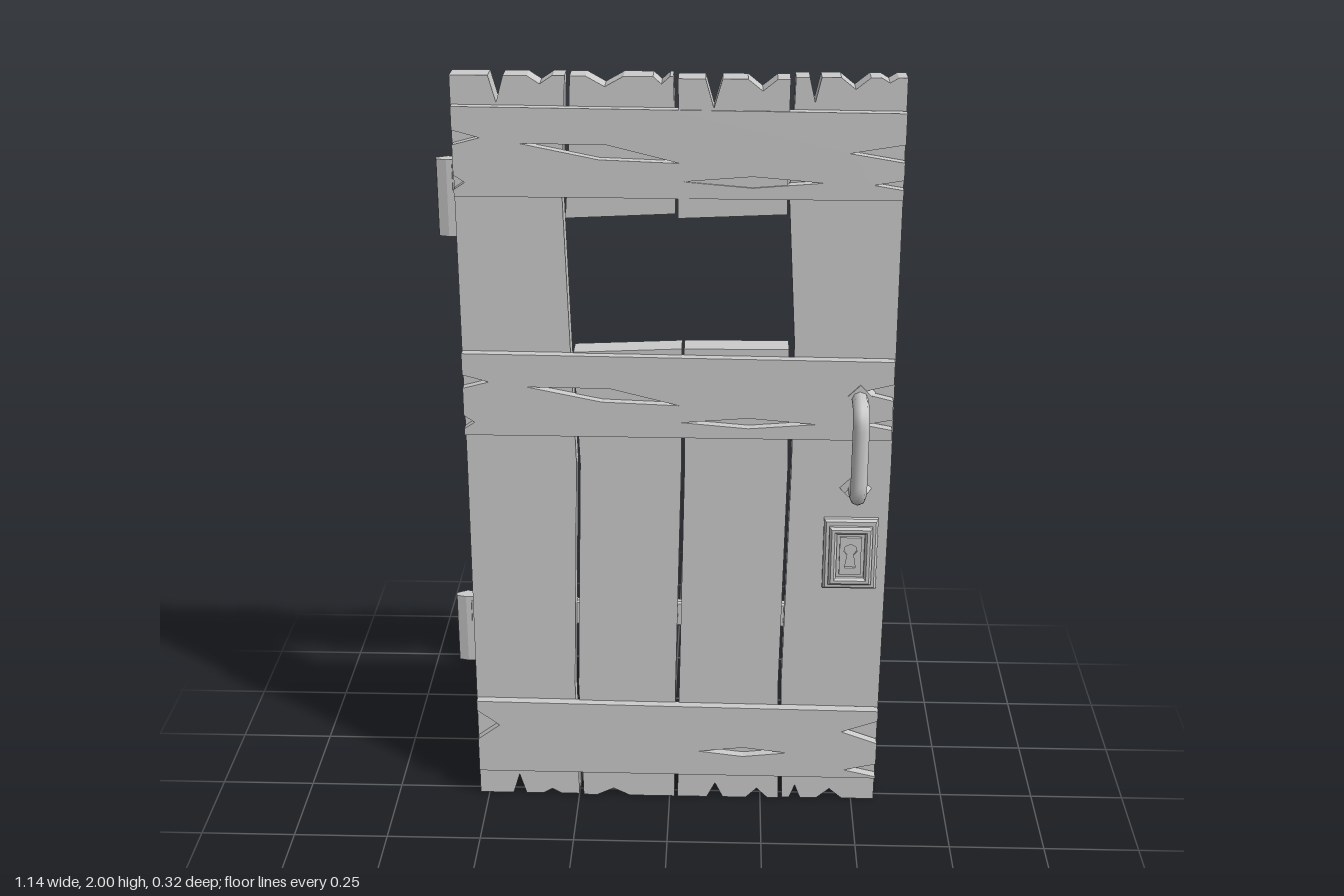
import * as THREE from 'three';

const material = new THREE.MeshStandardMaterial({ color: 0xcccccc, side: THREE.DoubleSide });

const toShape = (pts) => new THREE.Shape(pts.map(([x, y]) => new THREE.Vector2(x, y)));

function addMesh(parent, name, geometry, x = 0, y = 0, z = 0) {
  const mesh = new THREE.Mesh(geometry, material);
  mesh.name = name;
  mesh.position.set(x, y, z);
  parent.add(mesh);
  return mesh;
}

// Flat plate in the XY plane reaching from z = 0 to z = depth, with an optional chamfered front
function plate(pts, depth, holes = [], bevel = 0) {
  const shape = toShape(pts);
  holes.forEach((h) => shape.holes.push(new THREE.Path(h.map(([x, y]) => new THREE.Vector2(x, y)))));
  const geometry = new THREE.ExtrudeGeometry(shape, {
    depth: depth - bevel, bevelEnabled: bevel > 0, bevelThickness: bevel,
    bevelSize: bevel, bevelOffset: -bevel, bevelSegments: 1, curveSegments: 8,
  });
  return geometry;
}

const rect = (w, h) => [[-w / 2, -h / 2], [w / 2, -h / 2], [w / 2, h / 2], [-w / 2, h / 2]];

// V-shaped chips [x, depth, half width] along a plank end, from left to right
const chips = (y, dir, list) => list.flatMap(([x, d, w]) => [[x - w, y], [x, y + dir * d], [x + w, y]]);

// Plank: left and right edges run bottom to top, ends may be chipped
function plank(parent, name, left, right, bottom, top, zBack, zFront) {
  const y0 = left[0][1], y1 = left[left.length - 1][1];
  const pts = [left[0], ...chips(y0, 1, bottom), ...right, ...chips(y1, -1, top).reverse(), ...left.slice(1).reverse()];
  addMesh(parent, name, plate(pts, zFront - zBack), 0, 0, zBack);
}

function buildPlanks(door) {
  plank(door, 'hingeSidePlank',
    [[-0.525, 0], [-0.522, 1], [-0.525, 2]],
    [[-0.25, 0], [-0.256, 0.35], [-0.24, 1.0], [-0.25, 1.32], [-0.262, 1.7], [-0.25, 2]],
    [[-0.415, 0.06, 0.018], [-0.325, 0.015, 0.025]],
    [[-0.415, 0.065, 0.018], [-0.31, 0.02, 0.03]], -0.035, 0.026);
  plank(door, 'innerPlankLower1',
    [[-0.238, 0], [-0.246, 0.35], [-0.23, 1.0], [-0.242, 1.305]],
    [[0.013, 0], [0.016, 0.35], [0.03, 1.0], [0.03, 1.317]],
    [[-0.155, 0.022, 0.045]], [], -0.035, 0.03);
  plank(door, 'innerPlankLower2',
    [[0.022, 0], [0.026, 0.35], [0.038, 1.0], [0.036, 1.317]],
    [[0.3, 0], [0.292, 0.35], [0.303, 1.0], [0.298, 1.318]],
    [[0.125, 0.045, 0.022], [0.24, 0.03, 0.03]], [], -0.037, 0.03);
  plank(door, 'innerPlankUpper1',
    [[-0.255, 1.652], [-0.245, 1.8], [-0.238, 2]],
    [[0.013, 1.665], [0.016, 1.8], [0.008, 2]],
    [], [[-0.155, 0.025, 0.045], [-0.02, 0.018, 0.02]], -0.035, 0.028);
  plank(door, 'innerPlankUpper2',
    [[0.02, 1.66], [0.022, 1.8], [0.02, 2]],
    [[0.285, 1.672], [0.283, 1.8], [0.285, 2]],
    [], [[0.105, 0.07, 0.02], [0.22, 0.028, 0.035]], -0.015, 0.05);
  plank(door, 'handleSidePlank',
    [[0.31, 0], [0.3, 0.35], [0.312, 1.0], [0.312, 1.32], [0.29, 1.7], [0.298, 2]],
    [[0.562, 0], [0.567, 1], [0.562, 2]],
    [[0.345, 0.04, 0.015], [0.44, 0.03, 0.035]],
    [[0.345, 0.06, 0.014], [0.44, 0.028, 0.035], [0.52, 0.012, 0.02]], -0.035, 0.026);
}

// Cross board with split ends [y, inner x, half height] and gouges cut into its face
function crossBoard(door, name, y0, y1, rightSplits, leftSplits, gouges) {
  const right = rightSplits.flatMap(([y, x, h]) => [[0.562, y - h], [x, y], [0.562, y + h]]);
  const left = leftSplits.flatMap(([y, x, h]) => [[-0.522, y + h], [x, y], [-0.522, y - h]]);
  const pts = [[-0.522, y0], [0.562, y0], ...right, [0.562, y1 - 0.008], [0, y1 - 0.004], [-0.522, y1], ...left];
  addMesh(door, name, plate(pts, 0.026, gouges), 0, 0, 0.027).rotation.y = -0.006;
}

function buildCrossBoards(door) {
  const longGouge = (y) => [[-0.36, y + 0.01], [-0.17, y - 0.028], [0.025, y - 0.035], [-0.15, y + 0.008]];
  const shortGouge = (y, r = 0.17) => [[0.2 - r, y], [0.2, y - 0.014], [0.2 + r, y], [0.2, y + 0.014]];
  crossBoard(door, 'topCrossBoard', 1.71, 1.93,
    [[1.748, 0.49, 0.012], [1.825, 0.43, 0.022]],
    [[1.855, -0.455, 0.018], [1.745, -0.495, 0.018]],
    [longGouge(1.832), shortGouge(1.752)]);
  crossBoard(door, 'middleCrossBoard', 1.085, 1.305,
    [[1.128, 0.49, 0.014], [1.215, 0.475, 0.022]],
    [[1.23, -0.455, 0.018], [1.12, -0.495, 0.018]],
    [longGouge(1.208), shortGouge(1.127)]);
  crossBoard(door, 'bottomCrossBoard', 0.085, 0.303,
    [[0.11, 0.475, 0.02], [0.23, 0.465, 0.035]],
    [[0.23, -0.462, 0.045]],
    [shortGouge(0.16, 0.12)]);
}

// Back strap with arrow tip, rivets and a hinge knuckle at the edge
function buildHinge(door, y) {
  const hinge = new THREE.Group();
  hinge.name = 'strapHinge';
  hinge.position.y = y;
  door.add(hinge);
  const upper = [[0.515, 0], [0.47, 0.04], [0.425, 0.038], [0.345, 0.017], [0.315, 0.036], [-0.54, 0.036]];
  const lower = upper.slice(1).reverse().map(([x, v]) => [x, -v]);
  const strap = plate([...upper, ...lower].map(([x, v]) => [-x, v]), 0.022, [], 0.005);
  addMesh(hinge, 'strap', strap, 0, 0, -0.034).rotation.y = Math.PI;

  [-0.4, -0.117, 0.165, 0.447].forEach((x) => {
    const rivet = new THREE.CylinderGeometry(0.012, 0.022, 0.024, 6).toNonIndexed();
    rivet.computeVertexNormals();
    addMesh(hinge, 'rivet', rivet, x, 0, -0.065).rotation.x = -Math.PI / 2;
  });

  // Knuckle profile in (x, -z), extruded upwards
  const knuckle = plate([[-0.52, 0.03], [-0.52, 0.062], [-0.55, 0.068], [-0.578, 0.052], [-0.575, 0.037], [-0.55, 0.03]], 0.195);
  addMesh(hinge, 'hingeKnuckle', knuckle, 0, -0.151, 0).rotation.x = -Math.PI / 2;
}

// Handle and lock for one face, modelled facing +z from the plank surface
function buildHardware(door, name, side, surface) {
  const hardware = new THREE.Group();
  hardware.name = name;
  hardware.position.set(0.478, 0, side * surface);
  hardware.rotation.y = side > 0 ? 0 : Math.PI;
  door.add(hardware);

  // Rounded grip bar
  const reach = 0.14 - surface, low = 0.95, high = 1.197, r = 0.05;
  const v = (y, z) => new THREE.Vector3(0, y, z);
  const path = new THREE.CurvePath();
  path.add(new THREE.LineCurve3(v(low, 0), v(low, reach - r)));
  path.add(new THREE.QuadraticBezierCurve3(v(low, reach - r), v(low, reach), v(low + r, reach)));
  path.add(new THREE.LineCurve3(v(low + r, reach), v(high - r, reach)));
  path.add(new THREE.QuadraticBezierCurve3(v(high - r, reach), v(high, reach), v(high, reach - r)));
  path.add(new THREE.LineCurve3(v(high, reach - r), v(high, 0)));
  addMesh(hardware, 'handleBar', new THREE.TubeGeometry(path, 40, 0.021, 8));

  // Diamond mounts
  [0.94, 1.205].forEach((y) => {
    const mount = new THREE.CylinderGeometry(0.03, 0.041, 0.032, 4).toNonIndexed();
    mount.computeVertexNormals();
    addMesh(hardware, 'handleMount', mount, 0, y, 0.012).rotation.x = Math.PI / 2;
  });

  // Lock: base, raised frame and keyhole plate
  const lock = new THREE.Group();
  lock.name = 'lock';
  lock.position.set(-side * 0.008, 0.758, 0);
  hardware.add(lock);
  addMesh(lock, 'lockBase', plate(rect(0.14, 0.2), 0.018, [], 0.006), 0, 0, -0.002);
  addMesh(lock, 'lockFrame', plate(rect(0.112, 0.166), 0.03, [rect(0.072, 0.126)], 0.006));
  const keyhole = [[-0.014, -0.034], [0.014, -0.034], [0.008, 0.002], [0.017, 0.013], [0.014, 0.027],
    [0, 0.034], [-0.014, 0.027], [-0.017, 0.013], [-0.008, 0.002]];
  addMesh(lock, 'keyholePlate', plate(rect(0.056, 0.106), 0.023, [keyhole]));
}

export function createModel() {
  const door = new THREE.Group();
  door.name = 'woodenDoor';
  buildPlanks(door);
  buildCrossBoards(door);
  [1.736, 0.536].forEach((y) => buildHinge(door, y));
  buildHardware(door, 'frontHardware', 1, 0.03);
  buildHardware(door, 'backHardware', -1, 0.034);
  return door;
}
